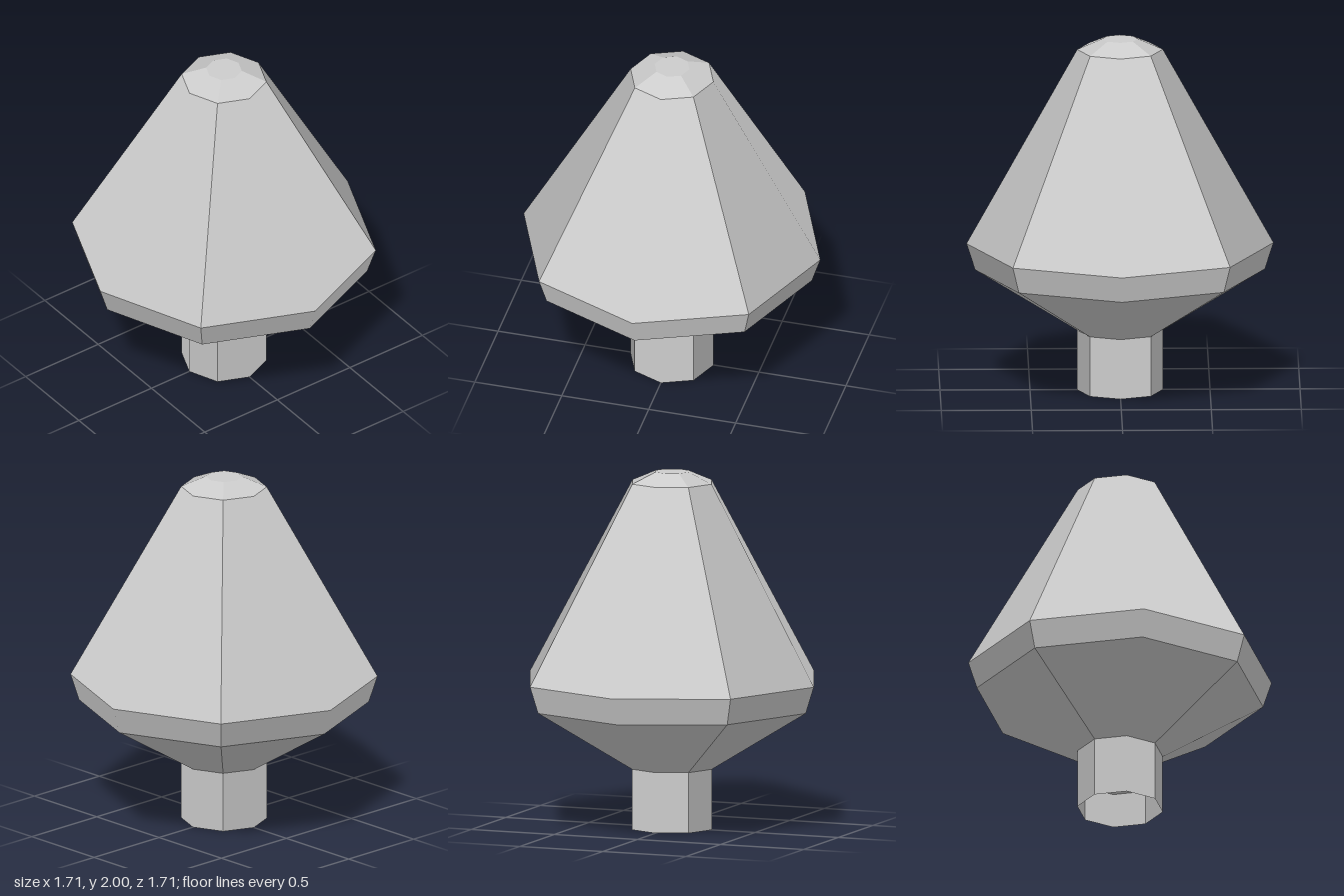
import * as THREE from 'three';

const material = new THREE.MeshStandardMaterial({ color: 0xcccccc, side: THREE.DoubleSide });

// Octagonal skin through [radius, y] rings; each quarter is shaded as one broad facet
function facetedSkin(name, rings) {
  const positions = [], normals = [];
  const point = ([r, y], a) => [r * Math.sin(a), y, r * Math.cos(a)];
  for (let i = 0; i < rings.length - 1; i++) {
    const low = rings[i], high = rings[i + 1];
    const dr = high[0] - low[0], dy = high[1] - low[1];
    for (let quarter = 0; quarter < 4; quarter++) {
      const mid = quarter * Math.PI / 2;
      const n = new THREE.Vector3(dy * Math.sin(mid), -dr, dy * Math.cos(mid)).normalize();
      for (const start of [mid - Math.PI / 4, mid]) {
        const end = start + Math.PI / 4;
        const a = point(low, start), b = point(low, end);
        const c = point(high, end), d = point(high, start);
        positions.push(...a, ...b, ...c, ...a, ...c, ...d);
        for (let k = 0; k < 6; k++) normals.push(n.x, n.y, n.z);
      }
    }
  }
  const geometry = new THREE.BufferGeometry();
  geometry.setAttribute('position', new THREE.Float32BufferAttribute(positions, 3));
  geometry.setAttribute('normal', new THREE.Float32BufferAttribute(normals, 3));
  const mesh = new THREE.Mesh(geometry, material);
  mesh.name = name;
  return mesh;
}

// Flat octagonal disc facing up (1) or down (-1)
function cap(name, radius, y, facing) {
  const mesh = new THREE.Mesh(new THREE.CircleGeometry(radius, 8).rotateX(-facing * Math.PI / 2), material);
  mesh.position.y = y;
  mesh.name = name;
  return mesh;
}

export function createModel() {
  const model = new THREE.Group();
  model.name = 'facetedBulb';

  // Hollow stem with a shallow socket underneath
  model.add(facetedSkin('stem', [[0.24, 0], [0.24, 0.34]]));
  model.add(cap('socketCeiling', 0.24, 0.2, -1));

  // Flared underside, rim band, tapering upper body and bevelled tip
  model.add(facetedSkin('body', [[0.24, 0.34], [0.805, 0.685], [0.853, 0.835], [0.238, 1.94], [0.1, 2]]));
  model.add(cap('tip', 0.1, 2, 1));

  return model;
}
